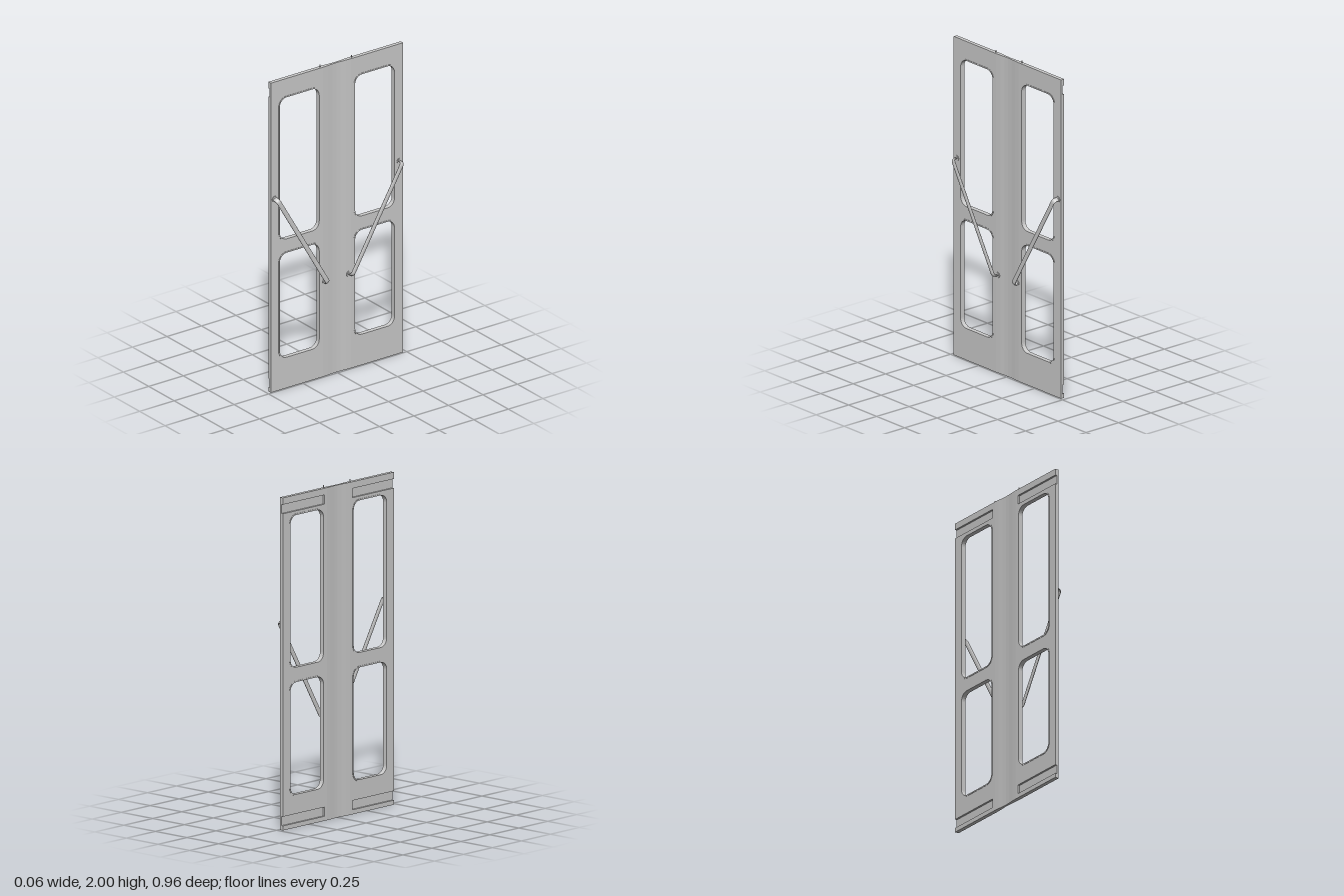
import * as THREE from 'three';

const H = 1.985, EDGE = 0.479, INNER = 0.1;        // leaf height, outer edge, start of the thin centre
const BACK = -0.031, MID = -0.019, FRONT = -0.0065; // x of the back face, recess floor and front face
const WINDOWS = [[0.13, 0.198, 0.415, 0.868], [0.13, 0.957, 0.415, 1.865]];
const material = new THREE.MeshStandardMaterial({ color: 0xcccccc });

function add(parent, name, geometry) {
  const mesh = new THREE.Mesh(geometry, material);
  mesh.name = name;
  parent.add(mesh);
  return mesh;
}

// Mirror points to one side, keeping them anticlockwise so that all faces look outwards
function mirrored(points, side) {
  const result = points.map(([u, v]) => new THREE.Vector2(side * u, v));
  return side < 0 ? result.reverse() : result;
}

// Rounded rectangle in the plane of the leaf, grown outwards by g
function roundedRect(target, side, [u0, v0, u1, v1], g = 0) {
  const r = 0.05;
  const corners = [[u1 - r, v0 + r, -0.5], [u1 - r, v1 - r, 0], [u0 + r, v1 - r, 0.5], [u0 + r, v0 + r, 1]];
  const points = [];
  for (const [u, v, start] of corners) {
    for (let i = 0; i <= 8; i++) {
      const t = (start + i / 16) * Math.PI;
      points.push([u + (r + g) * Math.cos(t), v + (r + g) * Math.sin(t)]);
    }
  }
  return target.setFromPoints(mirrored(points, side));
}

// Extrude a leaf-plane shape from x0 to x1
function slab(shape, x0, x1) {
  return new THREE.ExtrudeGeometry(shape, { depth: x1 - x0, bevelEnabled: false })
    .translate(0, 0, x0).rotateY(Math.PI / 2);
}

function leafShape(side, outline) {
  const shape = new THREE.Shape(mirrored(outline, side));
  for (const w of WINDOWS) shape.holes.push(roundedRect(new THREE.Path(), side, w));
  return shape;
}

function makeLeaf(side) {
  const leaf = new THREE.Group();
  add(leaf, 'frontSkin', slab(leafShape(side, [[INNER, 0], [EDGE, 0], [EDGE, H], [INNER, H]]), MID, FRONT));

  // Back skin with two channels open at the outer edge
  const notch = 0.12;
  add(leaf, 'backSkin', slab(leafShape(side, [
    [INNER, 0], [EDGE, 0], [EDGE, 0.027], [notch, 0.027], [notch, 0.082], [EDGE, 0.082],
    [EDGE, 1.89], [notch, 1.89], [notch, 1.945], [EDGE, 1.945], [EDGE, H], [INNER, H],
  ]), BACK, MID));

  // Slightly raised window rims on both faces
  for (const w of WINDOWS) {
    const rim = roundedRect(new THREE.Shape(), side, w, 0.008);
    rim.holes.push(roundedRect(new THREE.Path(), side, w));
    add(leaf, 'windowRim', slab(rim, BACK - 0.002, FRONT + 0.002));
  }

  // Pivot pin on the top edge
  add(leaf, 'pivotPin', new THREE.CylinderGeometry(0.003, 0.003, 0.03, 12))
    .position.set(-0.019, H, -side * 0.115);
  return leaf;
}

// Flattened bar with bent ends, swept in a local plane and then tilted
function makeHandle(side) {
  const handle = new THREE.Group();
  const half = 0.362, out = 0.026, bend = 0.022;
  const path = new THREE.CurvePath();
  const v = (x, y) => new THREE.Vector3(x, y, 0);
  path.add(new THREE.LineCurve3(v(-0.012, half), v(out - bend, half)));
  path.add(new THREE.QuadraticBezierCurve3(v(out - bend, half), v(out, half), v(out, half - bend)));
  path.add(new THREE.LineCurve3(v(out, half - bend), v(out, bend - half)));
  path.add(new THREE.QuadraticBezierCurve3(v(out, bend - half), v(out, -half), v(out - bend, -half)));
  path.add(new THREE.LineCurve3(v(out - bend, -half), v(-0.012, -half)));
  add(handle, 'handleBar', new THREE.TubeGeometry(path, 240, 0.0055, 16).scale(1, 1, 2.7));

  // Mounting flanges
  for (const end of [-half, half]) {
    add(handle, 'handleFlange', new THREE.CylinderGeometry(0.018, 0.018, 0.006, 24)
      .rotateZ(Math.PI / 2)).position.set(-0.006, end, 0);
  }
  handle.position.set(0, 0.922, side * 0.269);
  handle.rotation.x = side * Math.atan2(0.366, 0.627);
  return handle;
}

export function createModel() {
  const model = new THREE.Group();
  model.name = 'doubleDoor';

  for (const side of [-1, 1]) {
    const leaf = makeLeaf(side);
    leaf.name = side < 0 ? 'frontLeaf' : 'rearLeaf';
    model.add(leaf);
    const handle = makeHandle(side);
    handle.name = 'diagonalHandle';
    model.add(handle);
  }

  // Meeting edges: waisted strip that thins towards the middle
  const mid = (BACK + FRONT) / 2;
  const profile = [[-INNER, 0.01225], [-0.065, 0.0105], [-0.03, 0.0075], [0, 0.0065],
    [0.03, 0.0075], [0.065, 0.0105], [INNER, 0.01225]];
  const outline = [
    ...profile.map(([z, t]) => new THREE.Vector2(mid + t, z)),
    ...profile.map(([z, t]) => new THREE.Vector2(mid - t, z)).reverse(),
  ];
  add(model, 'meetingEdges', new THREE.ExtrudeGeometry(new THREE.Shape(outline),
    { depth: H, bevelEnabled: false }).rotateX(-Math.PI / 2));

  return model;
}
